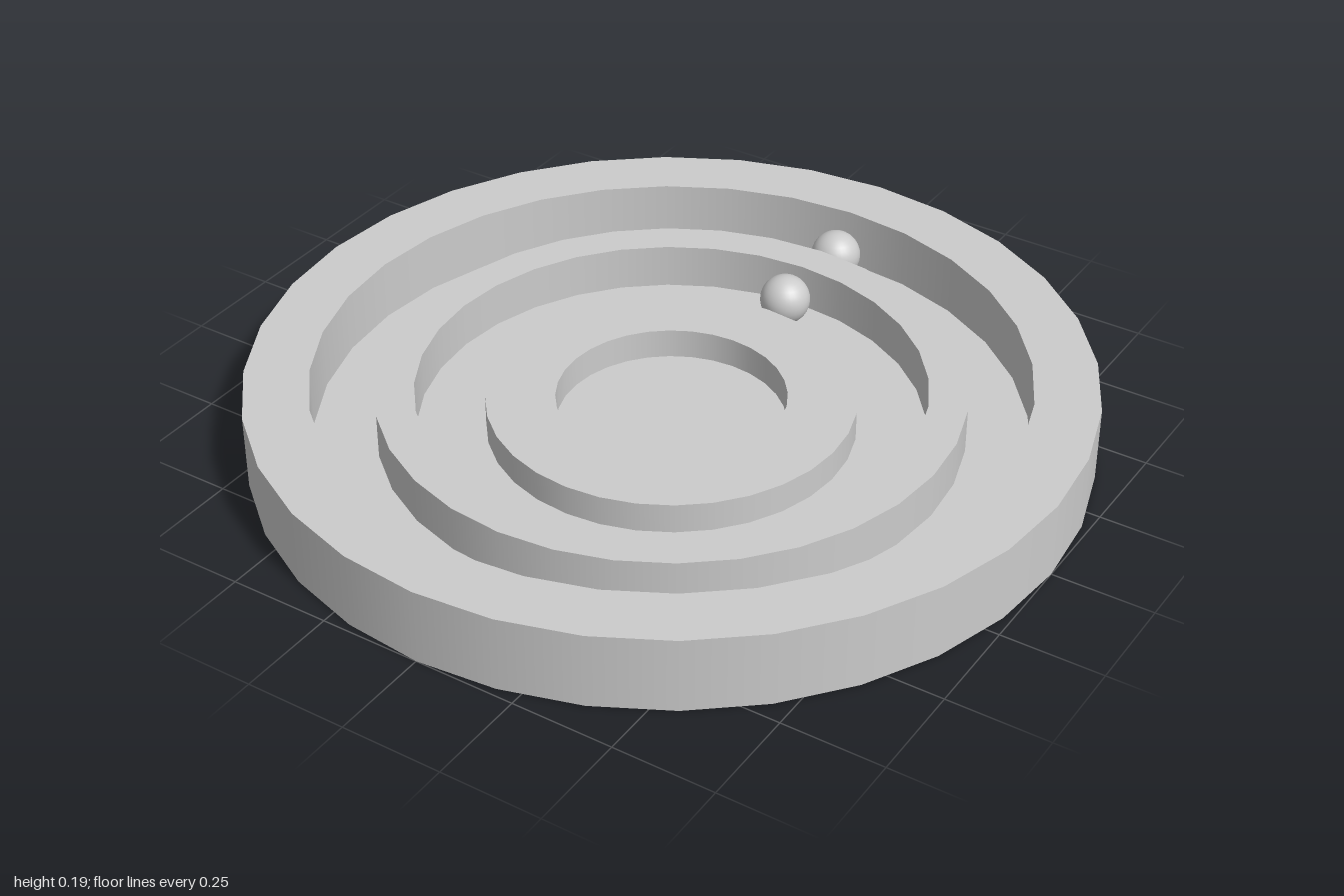
import * as THREE from 'three';
import { mergeGeometries } from 'three/addons/utils/BufferGeometryUtils.js';

const SIDES = 32;
const FLOOR = 0.0375;
const BALL_RADIUS = 0.0625;

// Revolve each profile segment separately so the corners stay sharp
function revolve(profile) {
  const bands = [];
  for (let i = 0; i < profile.length - 1; i++) {
    const pair = [profile[i], profile[i + 1]].map(([r, y]) => new THREE.Vector2(r, y));
    bands.push(new THREE.LatheGeometry(pair, SIDES));
  }
  return mergeGeometries(bands);
}

export function createModel() {
  const group = new THREE.Group();
  const material = new THREE.MeshStandardMaterial({ color: 0xcccccc });
  const add = (name, geometry) => {
    const mesh = new THREE.Mesh(geometry, material);
    mesh.name = name;
    group.add(mesh);
    return mesh;
  };

  // Round tray with a raised outer rim
  add('tray', revolve([
    [0, 0], [1, 0], [1, 0.1875], [0.846, 0.1875], [0.846, FLOOR], [0, FLOOR],
  ]));

  // Concentric walls, stepping down towards the middle
  const wall = (inner, outer, top) =>
    revolve([[outer, FLOOR], [outer, top], [inner, top], [inner, FLOOR]]);
  add('middleRing', wall(0.604, 0.696, 0.15));
  add('innerRing', wall(0.274, 0.439, 0.1125));

  // One ball resting in each groove, at the back
  const ballGeometry = new THREE.SphereGeometry(BALL_RADIUS, 32, 16);
  [['outerBall', -0.774], ['innerBall', -0.522]].forEach(([name, z]) => {
    add(name, ballGeometry).position.set(0, FLOOR + BALL_RADIUS, z);
  });

  return group;
}
